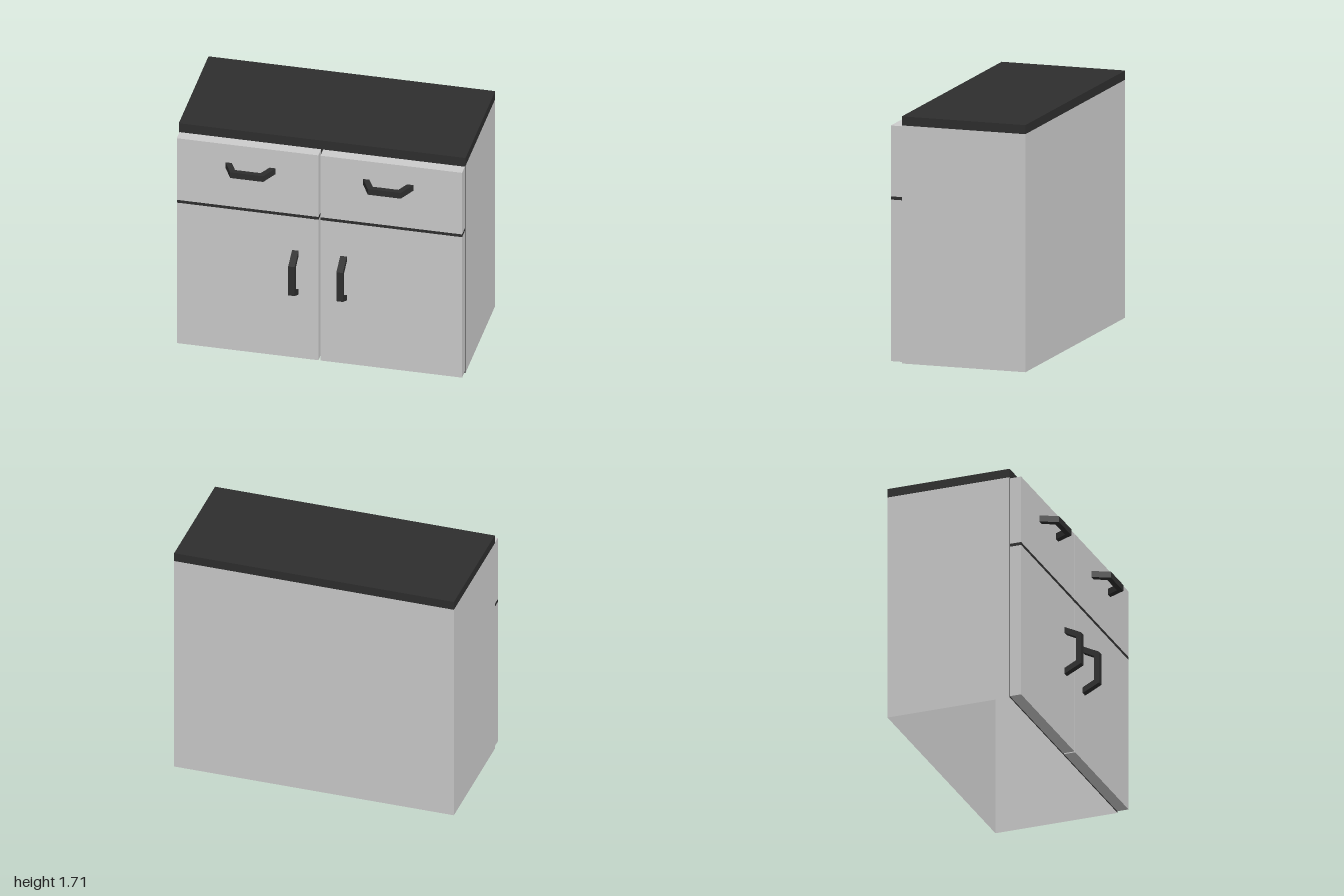
import * as THREE from 'three';

const BACK = -0.547, FRAME = 0.345, FACE = 0.427, TOP = 1.65;

export function createModel() {
  const model = new THREE.Group();
  model.name = 'cabinet';
  const grey = new THREE.MeshStandardMaterial({ color: 0xcccccc, side: THREE.DoubleSide });
  grey.name = 'light grey';
  const dark = new THREE.MeshStandardMaterial({ color: 0x2e2e2e, side: THREE.DoubleSide });
  dark.name = 'charcoal';

  const add = (name, geometry, material, parent = model) => {
    const mesh = new THREE.Mesh(geometry, material);
    mesh.name = name;
    parent.add(mesh);
    return mesh;
  };
  // Box given by its extents
  const box = (x0, x1, y0, y1, z0, z1) =>
    new THREE.BoxGeometry(x1 - x0, y1 - y0, z1 - z0)
      .translate((x0 + x1) / 2, (y0 + y1) / 2, (z0 + z1) / 2);

  // Carcass: thin walls, open underneath
  const depth = FRAME - BACK;
  add('backWall', new THREE.PlaneGeometry(2, TOP).rotateY(Math.PI).translate(0, TOP / 2, BACK), grey);
  add('frontFrame', new THREE.PlaneGeometry(2, TOP).translate(0, TOP / 2, FRAME), dark);
  for (const s of [-1, 1]) {
    add(s > 0 ? 'leftWall' : 'rightWall',
      new THREE.PlaneGeometry(depth, TOP).rotateY(s * Math.PI / 2)
        .translate(s, TOP / 2, (FRAME + BACK) / 2), grey);
  }
  add('countertop', box(-1, 1, TOP, 1.713, BACK, FRAME), dark);

  // Bracket handle: bent bar lying along x, standing out along +z
  const reach = 0.547 - FACE, width = 0.045;
  const outline = [
    [-0.175, 0], [-0.115, reach], [0.115, reach], [0.175, 0],
    [0.132, 0], [0.089, reach - 0.037], [-0.089, reach - 0.037], [-0.132, 0],
  ].map(([x, y]) => new THREE.Vector2(x, y));
  const handleGeometry = new THREE.ExtrudeGeometry(new THREE.Shape(outline),
    { depth: width, bevelEnabled: false })
    .translate(0, 0, -width / 2).rotateX(Math.PI / 2);

  // Each half: door, drawer front, dividing strip and two handles
  for (const s of [-1, 1]) {
    const half = new THREE.Group();
    half.name = s > 0 ? 'leftHalf' : 'rightHalf';
    model.add(half);
    const x0 = s > 0 ? 0.007 : -0.995, x1 = s > 0 ? 0.995 : -0.007;
    add('door', box(x0, x1, 0.01, 1.13, FRAME, FACE), grey, half);
    add('dividingStrip', box(x0, x1, 1.13, 1.152, FRAME, FACE), dark, half);
    add('drawerFront', box(x0, x1, 1.152, 1.643, FRAME, FACE), grey, half);
    add('drawerHandle', handleGeometry, dark, half).position.set(s * 0.48, 1.476, FACE);
    const doorHandle = add('doorHandle', handleGeometry, dark, half);
    doorHandle.position.set(s * 0.168, 0.689, FACE);
    doorHandle.rotation.z = Math.PI / 2;
  }
  return model;
}
